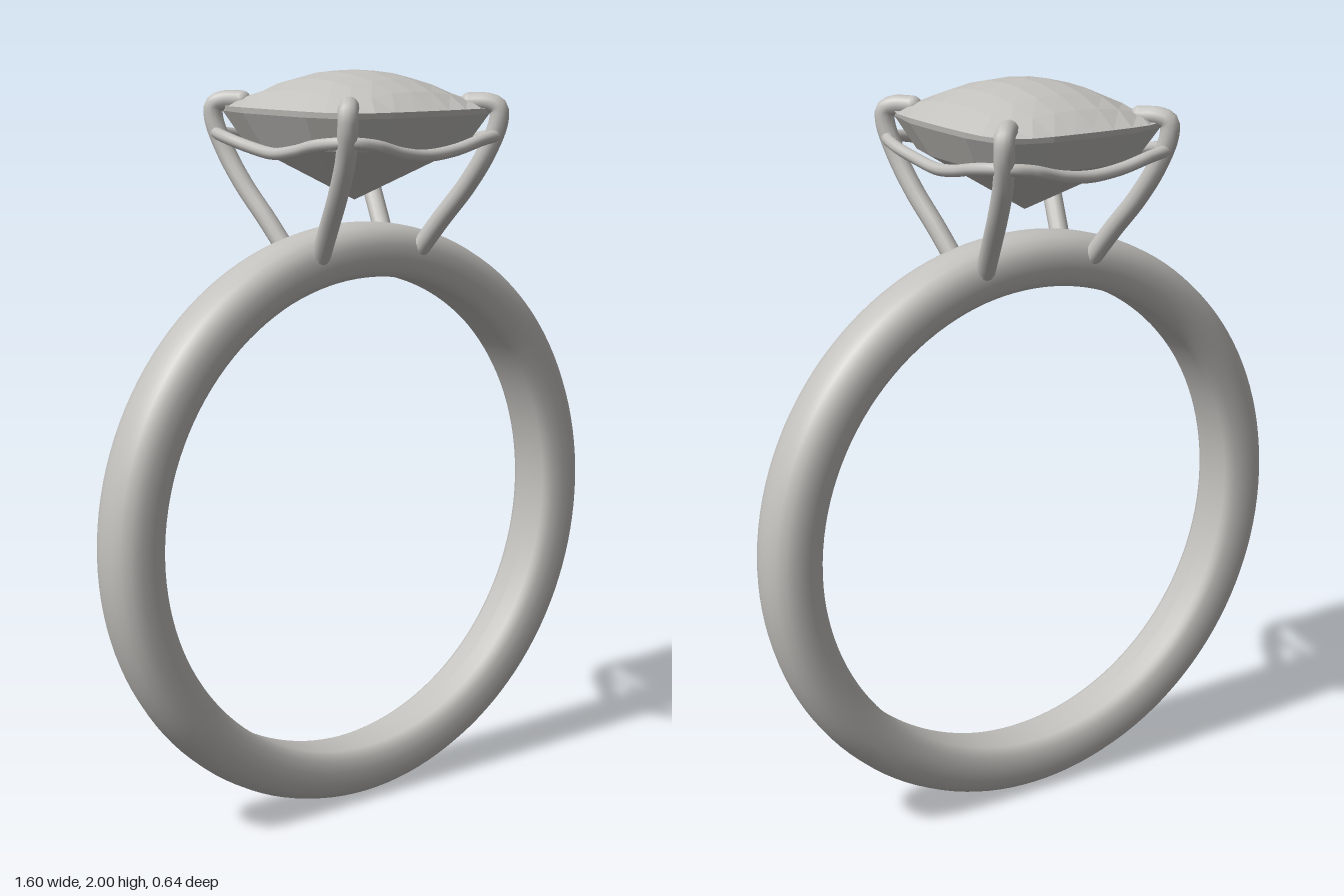
import * as THREE from 'three';

const metal = new THREE.MeshStandardMaterial({ color: 0xc3c1bd, side: THREE.DoubleSide });
metal.name = 'silver grey';

const V = (x, y, z) => new THREE.Vector3(x, y, z);

function add(parent, name, geometry) {
  const mesh = new THREE.Mesh(geometry, metal);
  mesh.name = name;
  parent.add(mesh);
  return mesh;
}

// Cushion outline: maps the square u, v in [-1, 1] to x and z with softened corners
function cushion(u, v) {
  return [
    0.27 * u * (1 - 0.04 * v ** 2 - 0.09 * v ** 8),
    0.312 * v * (1 - 0.04 * u ** 2 - 0.08 * u ** 8),
  ];
}

function faceted(geometry) {
  const flat = geometry.toNonIndexed();
  flat.computeVertexNormals();
  return flat;
}

// Checkerboard dome of the stone
function crownGeometry() {
  const geo = new THREE.PlaneGeometry(2, 2, 8, 8).rotateX(-Math.PI / 2);
  const p = geo.attributes.position;
  for (let i = 0; i < p.count; i++) {
    const u = p.getX(i), v = p.getZ(i);
    const [x, z] = cushion(u, v);
    p.setXYZ(i, x, 1.905 + 0.095 * (1 - Math.abs(u) ** 2.2) * (1 - Math.abs(v) ** 2.2), z);
  }
  return faceted(geo);
}

// Underside of the stone: rings shrinking down to a point
function pavilionGeometry() {
  const outline = [];
  const steps = [-1, -0.5, 0, 0.5];
  for (const t of steps) outline.push([t, 1]);
  for (const t of steps) outline.push([1, -t]);
  for (const t of steps) outline.push([-t, -1]);
  for (const t of steps) outline.push([-1, t]);
  const rings = [[1, 1.905], [0.99, 1.89], [0.82, 1.805], [0, 1.66]];
  const n = outline.length, pos = [], idx = [];
  for (const [s, y] of rings) {
    for (const [u, v] of outline) {
      const [x, z] = cushion(u, v);
      pos.push(x * s, y, z * s);
    }
  }
  for (let r = 0; r < rings.length - 1; r++) {
    for (let i = 0; i < n; i++) {
      const a = r * n + i, b = r * n + (i + 1) % n;
      idx.push(a, a + n, b);
      if (r < rings.length - 2) idx.push(b, a + n, b + n);
    }
  }
  const geo = new THREE.BufferGeometry();
  geo.setAttribute('position', new THREE.Float32BufferAttribute(pos, 3));
  geo.setIndex(idx);
  return faceted(geo);
}

export function createModel() {
  const ring = new THREE.Group();
  ring.name = 'ring';

  // Band: comfort profile turned around the finger axis
  const half = [[0.658, 0.055], [0.664, 0.068], [0.68, 0.079], [0.71, 0.088],
    [0.745, 0.086], [0.772, 0.075], [0.79, 0.053], [0.798, 0.027]];
  const profile = [
    [0.656, 0],
    ...half.map(([r, z]) => [r, -z]),
    [0.8, 0],
    ...half.slice().reverse(),
    [0.656, 0],
  ].map(([r, z]) => new THREE.Vector2(r, z));
  const band = add(ring, 'band', new THREE.LatheGeometry(profile, 128));
  band.rotation.x = Math.PI / 2;
  band.position.y = 0.8;

  // Stone
  const stone = new THREE.Group();
  stone.name = 'stone';
  add(stone, 'crown', crownGeometry());
  add(stone, 'pavilion', pavilionGeometry());
  ring.add(stone);

  // Four claws rising from the band and hooking over the stone
  for (const sx of [-1, 1]) {
    for (const sz of [-1, 1]) {
      const claw = new THREE.Group();
      claw.name = 'claw';
      const points = [
        [0.17, 1.53, 0.075], [0.19, 1.61, 0.135], [0.215, 1.70, 0.205],
        [0.235, 1.79, 0.26], [0.25, 1.87, 0.288], [0.249, 1.905, 0.287],
        [0.232, 1.917, 0.268], [0.2, 1.918, 0.23],
      ].map(([x, y, z]) => V(x * sx, y, z * sz));
      const path = new THREE.CatmullRomCurve3(points);
      add(claw, 'claw wire', new THREE.TubeGeometry(path, 48, 0.026, 12));
      for (const end of [points[0], points[points.length - 1]]) {
        add(claw, 'claw tip', new THREE.SphereGeometry(0.026, 12, 8)).position.copy(end);
      }
      ring.add(claw);
    }
  }

  // Wavy rail joining the claws, dipping in the middle of each side
  const quarter = [[0.265, 1.793, 0], [0.269, 1.805, 0.1], [0.275, 1.825, 0.2], [0.243, 1.833, 0.285],
    [0.175, 1.825, 0.304], [0.09, 1.803, 0.3], [0, 1.793, 0.296]];
  const mirrored = (sx, sz) => quarter.map(([x, y, z]) => V(x * sx, y, z * sz));
  const loop = [
    ...mirrored(1, 1).slice(0, -1),
    ...mirrored(-1, 1).reverse().slice(0, -1),
    ...mirrored(-1, -1).slice(0, -1),
    ...mirrored(1, -1).reverse().slice(0, -1),
  ];
  add(ring, 'rail', new THREE.TubeGeometry(new THREE.CatmullRomCurve3(loop, true), 160, 0.016, 10, true));

  return ring;
}
